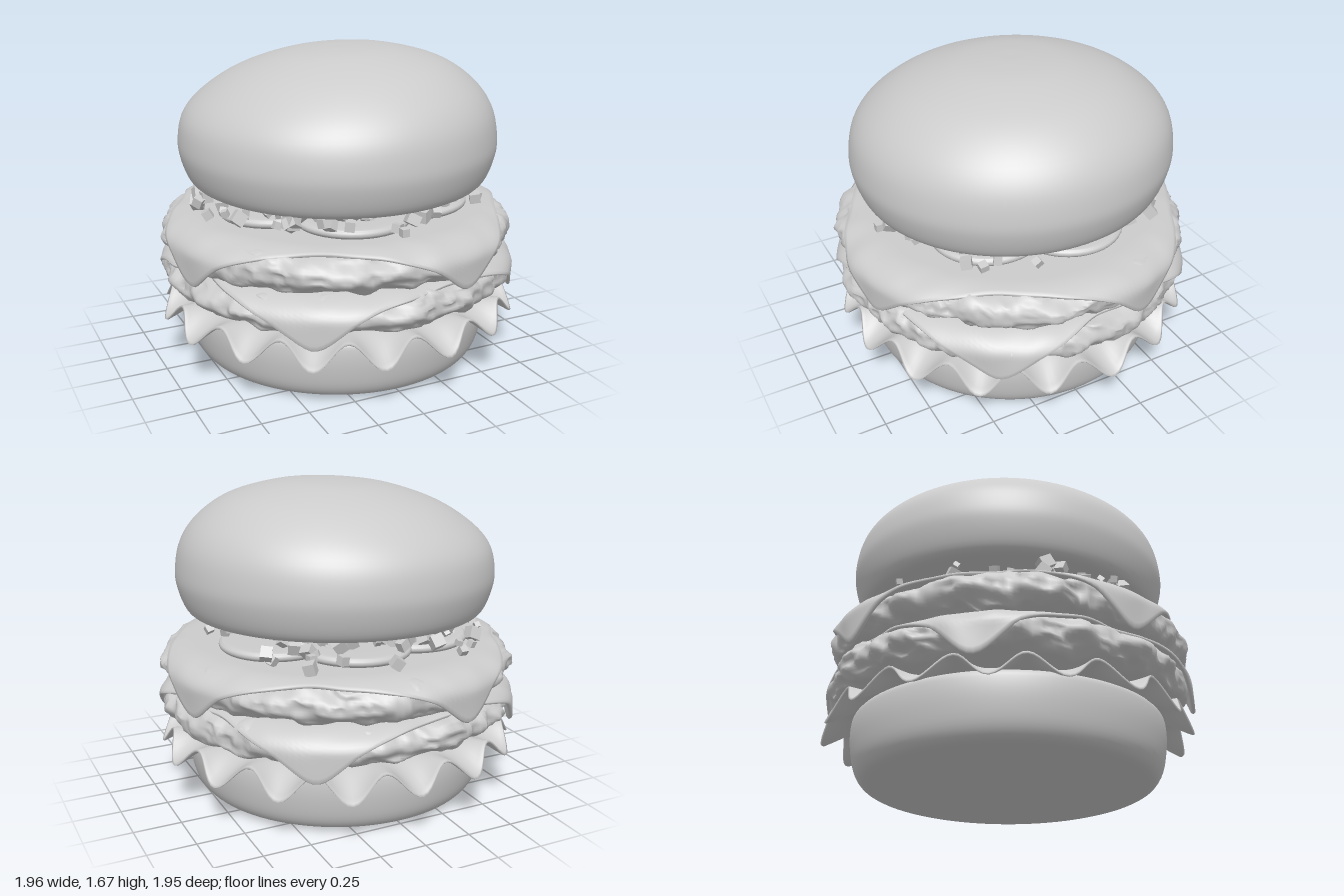
import * as THREE from 'three';
import { mergeVertices } from 'three/addons/utils/BufferGeometryUtils.js';

const material = new THREE.MeshStandardMaterial({ color: 0xcccccc });
const thinMaterial = new THREE.MeshStandardMaterial({ color: 0xcccccc, side: THREE.DoubleSide });

// Seeded random numbers
let seed = 7;
const random = () => (seed = (seed * 16807) % 2147483647) / 2147483647;
const range = (a, b) => a + (b - a) * random();

// Smooth 3D value noise in -1..1
function hash(x, y, z) {
  const h = Math.sin(x * 127.1 + y * 311.7 + z * 74.7) * 43758.5453;
  return (h - Math.floor(h)) * 2 - 1;
}
function noise(x, y, z) {
  const i = Math.floor(x), j = Math.floor(y), k = Math.floor(z);
  const ease = (t) => t * t * (3 - 2 * t);
  const u = ease(x - i), v = ease(y - j), w = ease(z - k);
  let sum = 0;
  for (let c = 0; c < 8; c++) {
    const a = c & 1, b = (c >> 1) & 1, d = c >> 2;
    sum += hash(i + a, j + b, k + d) * (a ? u : 1 - u) * (b ? v : 1 - v) * (d ? w : 1 - w);
  }
  return sum;
}

const smooth = (list, n) => new THREE.SplineCurve(list.map(([x, y]) => new THREE.Vector2(x, y)))
  .getPoints(n).map((p) => new THREE.Vector2(Math.max(0, p.x), p.y));

// Closed sheet outline: out along the underside (y = 0), back along the top (y = 1),
// coarse up to the inner fraction and fine beyond it
function sheetProfile(inner, n) {
  const steps = [0, inner / 2];
  for (let i = 0; i <= n; i++) steps.push(inner + (1 - inner) * i / n);
  const under = steps.map((s) => new THREE.Vector2(s, 0));
  const over = steps.map((s) => new THREE.Vector2(s, 1)).reverse();
  return [...under, new THREE.Vector2(1.008, 0.5), ...over];
}

// Lathe whose vertices are moved by rule(radius, y, angle) -> [radius, y]
function shapedLathe(name, profile, segments, rule, mat = material) {
  const geo = new THREE.LatheGeometry(profile, segments);
  const pos = geo.attributes.position;
  for (let i = 0; i < pos.count; i++) {
    const x = pos.getX(i), z = pos.getZ(i);
    const a = Math.atan2(x, z);
    const [r, y] = rule(Math.hypot(x, z), pos.getY(i), a);
    pos.setXYZ(i, r * Math.sin(a), y, r * Math.cos(a));
  }
  geo.deleteAttribute('uv');
  geo.deleteAttribute('normal');
  const welded = mergeVertices(geo, 1e-5);
  welded.computeVertexNormals();
  const mesh = new THREE.Mesh(welded, mat);
  mesh.name = name;
  return mesh;
}

// Lumpy patty with a ragged rim
function patty(name, yMid, shift) {
  const profile = [new THREE.Vector2(0, -0.1), new THREE.Vector2(0.5, -0.1), new THREE.Vector2(0.76, -0.1)];
  for (let i = 1; i < 24; i++) {
    const t = -Math.PI / 2 + Math.PI * i / 24;
    profile.push(new THREE.Vector2(0.76 + 0.19 * Math.cos(t) ** 0.8, 0.1 * Math.sin(t)));
  }
  profile.push(new THREE.Vector2(0.76, 0.1), new THREE.Vector2(0.5, 0.1), new THREE.Vector2(0, 0.1));
  return shapedLathe(name, profile, 220, (r, y, a) => {
    const x = r * Math.sin(a), z = r * Math.cos(a);
    const rim = THREE.MathUtils.smoothstep(r, 0.74, 0.9);
    const lump = noise(x * 9 + shift, y * 11, z * 9);
    const crag = 0.5 - Math.abs(noise(x * 17, y * 19 + shift, z * 17));
    const d = rim * (0.03 * lump + 0.035 * crag - 0.012);
    return [r + d, yMid + y * (1 + rim * 0.25 * noise(x * 12, shift, z * 12))];
  });
}

// Square slice with round corners, draped over a patty
function cheese(name, yTop, turn) {
  return shapedLathe(name, sheetProfile(0.6, 20), 200, (s, layer, a) => {
    const c = Math.abs(Math.cos(a - turn + Math.PI / 4));
    const d = Math.abs(Math.sin(a - turn + Math.PI / 4));
    const reach = 0.85 * (c ** 14 + d ** 14) ** (-1 / 14) + 0.025 * noise(Math.sin(a) * 4, turn * 9, Math.cos(a) * 4);
    const e = Math.max(0, s * reach - 0.77);
    const bend = Math.min(e / 0.24, 1) * Math.PI / 2;
    const wave = 0.008 * noise(s * 6, Math.sin(a) * 7 + turn, Math.cos(a) * 7) * Math.min(1, e * 8);
    const out = (layer - 0.5) * 0.022 + wave;
    const r = Math.min(s * reach, 0.77) + 0.195 * Math.sin(bend) + out * Math.sin(bend);
    const y = yTop - 0.011 - 0.105 * (1 - Math.cos(bend)) - Math.max(0, e - 0.24) + out * Math.cos(bend);
    return [r, y];
  }, thinMaterial);
}

// Thin leaf with a wavy, drooping edge
function lettuce() {
  return shapedLathe('lettuce', sheetProfile(0.72, 12), 238, (s, layer, a) => {
    const t = THREE.MathUtils.smoothstep(s, 0.76, 1.08) / 0.85;
    const w = Math.cos(17 * (a - 0.18));
    const r = s * (0.945 + 0.025 * w * t + 0.012 * noise(Math.sin(a) * 3, 2, Math.cos(a) * 3));
    return [r, 0.355 - t * (0.05 + 0.062 * w) + layer * 0.014];
  }, thinMaterial);
}

export function createModel() {
  const burger = new THREE.Group();
  burger.name = 'burger';

  // Bottom bun
  const lower = smooth([[0.7, 0.005], [0.76, 0.025], [0.8, 0.085], [0.822, 0.19], [0.825, 0.28], [0.81, 0.33], [0.75, 0.345]], 24);
  burger.add(shapedLathe('bottomBun',
    [new THREE.Vector2(0, 0), new THREE.Vector2(0.68, 0), ...lower, new THREE.Vector2(0, 0.345)],
    96, (r, y) => [r, y]));

  // Fillings
  burger.add(lettuce());
  burger.add(patty('lowerPatty', 0.498, 0));
  burger.add(cheese('lowerCheese', 0.612, -0.55));
  burger.add(patty('upperPatty', 0.71, 31));
  burger.add(cheese('upperCheese', 0.828, 0.29));

  // Pickle slices
  const pickles = new THREE.Group();
  pickles.name = 'pickles';
  const slice = smooth([[0, 0], [0.25, 0], [0.29, 0.008], [0.3, 0.025], [0.29, 0.042], [0.25, 0.05], [0, 0.05]], 24);
  for (let i = 0; i < 6; i++) {
    const a = -0.25 + i * Math.PI / 3;
    const pickle = shapedLathe('pickle' + (i + 1), slice, 40, (r, y) => [r, y]);
    pickle.position.set(0.42 * Math.sin(a), 0.825 + (i % 2) * 0.012, 0.42 * Math.cos(a));
    pickle.rotation.z = (i % 2) * 0.03;
    pickles.add(pickle);
  }
  burger.add(pickles);

  // Diced onion
  const onions = new THREE.Group();
  onions.name = 'dicedOnions';
  const dice = new THREE.BoxGeometry(1, 1, 1);
  for (let i = 0; i < 150; i++) {
    const cube = new THREE.Mesh(dice, material);
    cube.name = 'onionCube' + (i + 1);
    const a = range(0, Math.PI * 2), r = 0.8 * Math.sqrt(range(0.12, 1));
    const size = range(0.028, 0.068);
    const y = r > 0.68 ? range(0.83 + size * 0.5, 0.925) : range(0.88, 0.95);
    cube.position.set(r * Math.sin(a), y, r * Math.cos(a));
    cube.rotation.set(range(0, 3), range(0, 3), range(0, 3));
    cube.scale.set(size, size * range(0.8, 1.1), size);
    onions.add(cube);
  }
  burger.add(onions);

  // Top bun, slightly tilted and lopsided
  const upper = smooth([[0, 0.985], [0.4, 0.98], [0.66, 0.967], [0.75, 0.968], [0.805, 1.0], [0.845, 1.1], [0.856, 1.2],
    [0.825, 1.34], [0.73, 1.46], [0.56, 1.57], [0.32, 1.645], [0.12, 1.668], [0, 1.67]], 56);
  const topBun = shapedLathe('topBun', upper, 96, (r, y, a) => {
    const x = r * Math.sin(a), z = r * Math.cos(a);
    const up = THREE.MathUtils.smoothstep(y, 1.2, 1.6);
    return [r, y + 0.012 * x + 0.04 * up * x - 0.022 * (1 - up) * z];
  });
  topBun.position.x = 0.008;
  burger.add(topBun);

  return burger;
}
